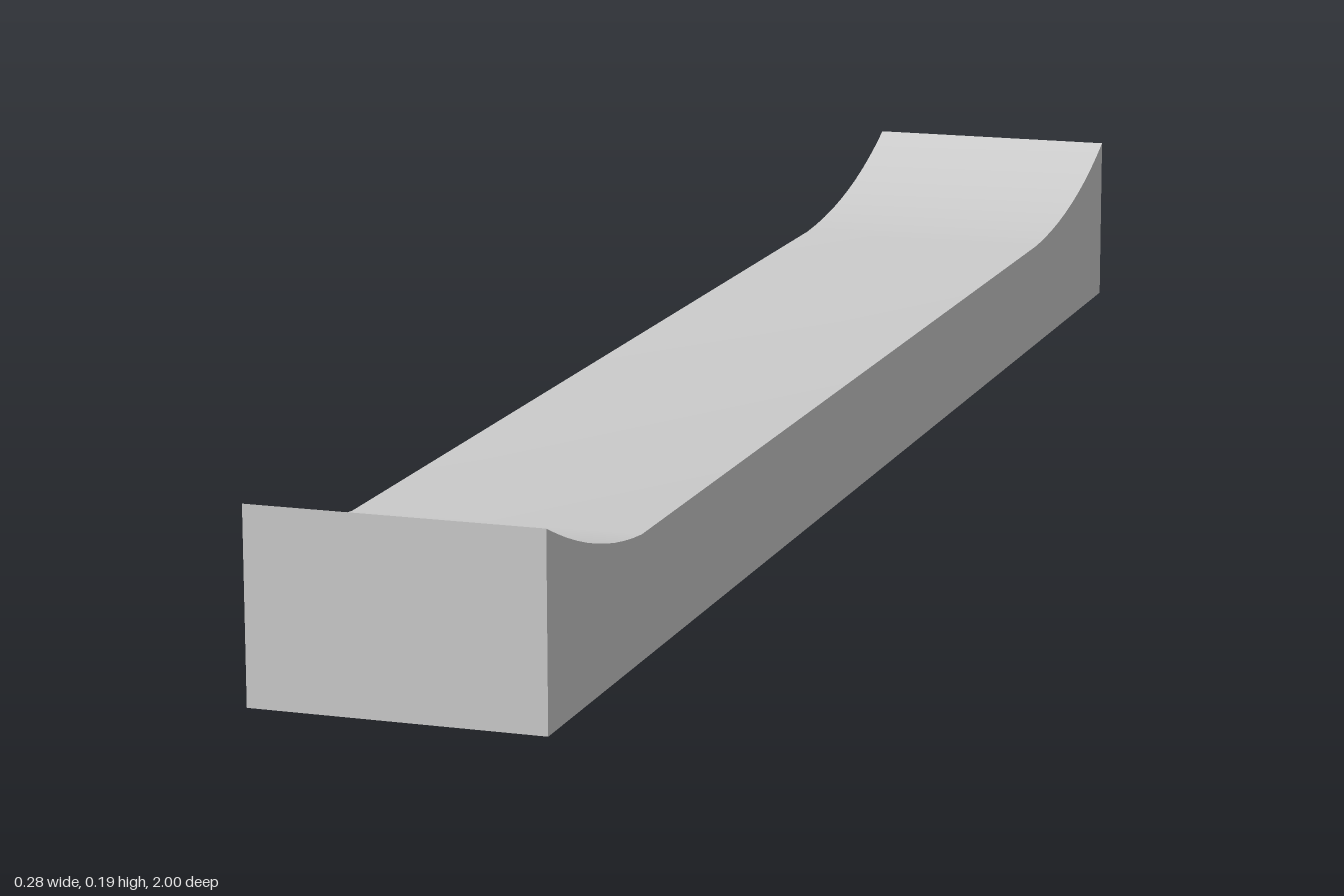
import * as THREE from 'three';
import { toCreasedNormals } from 'three/addons/utils/BufferGeometryUtils.js';

const WIDTH = 0.285;

export function createModel() {
  const group = new THREE.Group();
  group.name = 'curvedRamp';

  // Side profile: shape x runs along the model's z, shape y is height
  const profile = new THREE.Shape();
  profile.moveTo(-1, 0);
  profile.lineTo(1, 0);
  profile.lineTo(1, 0.187);
  profile.quadraticCurveTo(0.87, 0.13, 0.75, 0.12); // front upsweep
  profile.lineTo(-0.68, 0.12); // flat bed
  profile.quadraticCurveTo(-0.86, 0.127, -1, 0.19); // back upsweep
  profile.closePath();

  // Extrude across the width, then turn the profile to run along z
  const extruded = new THREE.ExtrudeGeometry(profile, {
    depth: WIDTH,
    bevelEnabled: false,
    curveSegments: 10,
  });
  extruded.translate(0, 0, -WIDTH / 2);
  extruded.rotateY(-Math.PI / 2);

  // Smooth the upsweeps while keeping the outer edges sharp
  const body = new THREE.Mesh(
    toCreasedNormals(extruded, 0.4),
    new THREE.MeshStandardMaterial({ color: 0xcccccc })
  );
  body.name = 'rampBody';
  group.add(body);

  return group;
}
